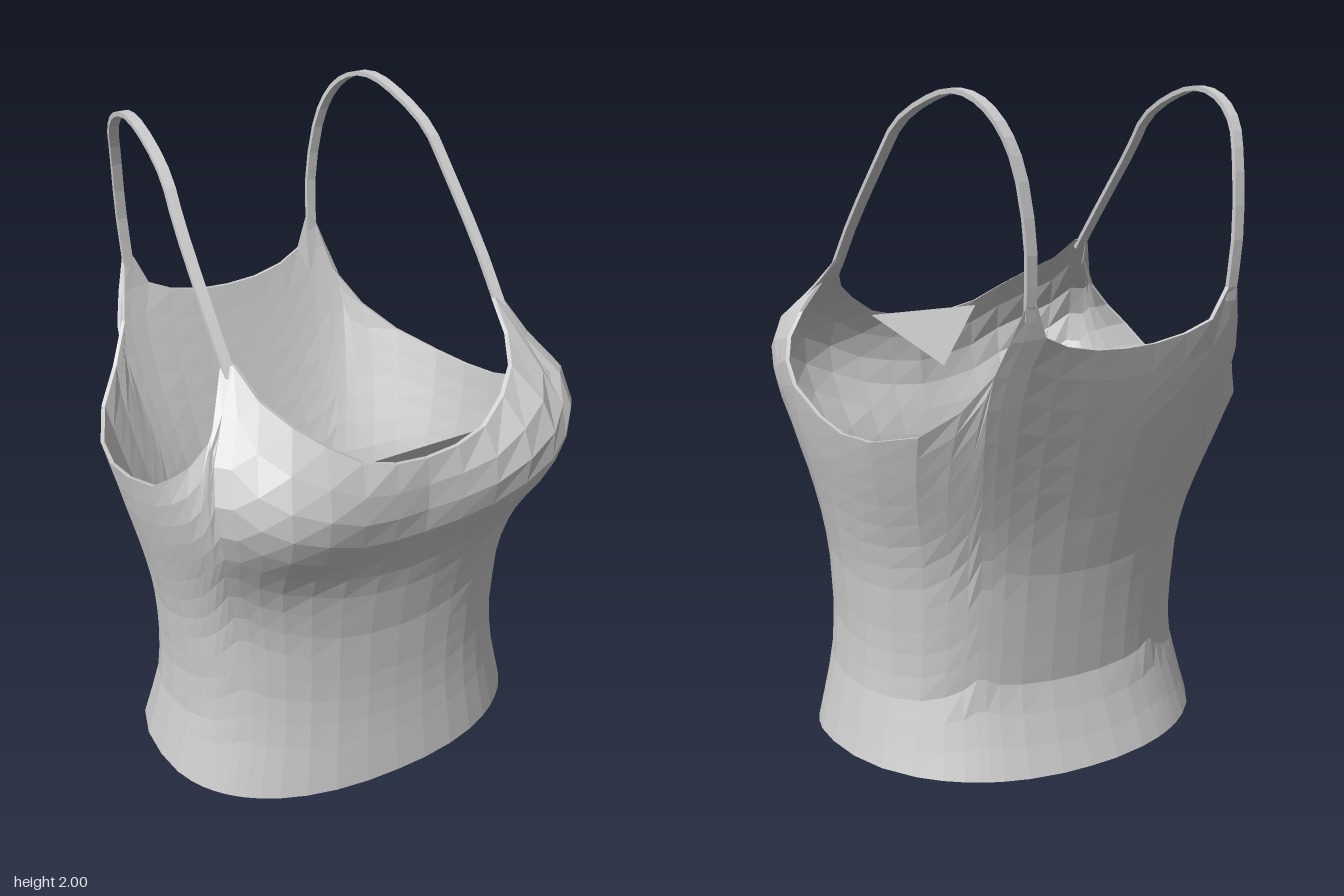
import * as THREE from 'three';

const fabric = new THREE.MeshStandardMaterial({ color: 0xcccccc, side: THREE.DoubleSide });
fabric.name = 'grey fabric';

// Piecewise-linear lookup in a list of [y, value] pairs
function lookup(table, y) {
  for (let i = 1; i < table.length; i++) {
    const [y0, v0] = table[i - 1], [y1, v1] = table[i];
    if (y <= y1) return v0 + (v1 - v0) * Math.max(0, (y - y0) / (y1 - y0));
  }
  return table[table.length - 1][1];
}

// Joins closed rings of points into a faceted skin
function loft(rings, closed) {
  const n = rings[0].length, index = [];
  const count = closed ? rings.length : rings.length - 1;
  for (let i = 0; i < count; i++) {
    const k = (i + 1) % rings.length;
    for (let j = 0; j < n; j++) {
      const m = (j + 1) % n;
      const a = i * n + j, b = k * n + j, c = k * n + m, d = i * n + m;
      index.push(a, b, c, a, c, d);
    }
  }
  const indexed = new THREE.BufferGeometry().setFromPoints(rings.flat());
  indexed.setIndex(index);
  const geometry = indexed.toNonIndexed();
  geometry.computeVertexNormals();
  return geometry;
}

// Torso measurements by height
const halfWidth = [[0, 0.625], [0.1, 0.6], [0.25, 0.565], [0.4, 0.555], [0.6, 0.565], [0.75, 0.59],
  [0.95, 0.63], [1.1, 0.65], [1.2, 0.655], [1.3, 0.62], [1.4, 0.52], [1.5, 0.45]];
const frontZ = [[0, 0.5], [0.25, 0.475], [0.4, 0.47], [0.6, 0.48], [0.8, 0.515], [0.9, 0.56],
  [1, 0.63], [1.08, 0.665], [1.15, 0.672], [1.22, 0.655], [1.3, 0.6], [1.4, 0.47], [1.5, 0.33]];
const backZ = [[0, -0.45], [0.1, -0.41], [0.25, -0.36], [0.4, -0.375], [0.6, -0.4], [0.8, -0.45],
  [1, -0.51], [1.2, -0.57], [1.4, -0.625]];
const squareness = [[0.7, 2.3], [1.1, 3]];
const CENTRE_Z = 0.05;

// Point on the torso: a superellipse with a hollow between the cups
function torso(angle, y) {
  const s = Math.sin(angle), c = Math.cos(angle), p = lookup(squareness, y);
  const r = Math.pow(Math.abs(s) ** p + Math.abs(c) ** p, -1 / p);
  const x = s * r * lookup(halfWidth, y);
  const depth = c > 0 ? lookup(frontZ, y) - CENTRE_Z : CENTRE_Z - lookup(backZ, y);
  let z = CENTRE_Z + c * r * depth;
  if (c > 0) z -= 0.07 * Math.exp(-((x / 0.2) ** 2)) * Math.exp(-(((y - 1.15) / 0.18) ** 2));
  return new THREE.Vector3(x, y, z);
}

// Top edge, centre front to centre back: angle in degrees, x, y, z
const topEdge = [
  [0, 0, 1.23, 0.59], [10, 0.1, 1.24, 0.59], [20, 0.2, 1.265, 0.575], [29, 0.29, 1.32, 0.535],
  [37, 0.36, 1.37, 0.475], [43, 0.41, 1.42, 0.385], [48, 0.432, 1.49, 0.285],
  [52, 0.462, 1.49, 0.265], [55, 0.495, 1.41, 0.325], [59, 0.55, 1.32, 0.355],
  [63, 0.6, 1.25, 0.335], [69, 0.635, 1.19, 0.275], [77, 0.65, 1.13, 0.19], [90, 0.65, 1.07, 0.02],
  [104, 0.645, 1.045, -0.12], [117, 0.62, 1.045, -0.25], [129, 0.55, 1.08, -0.4],
  [137, 0.465, 1.16, -0.49], [143, 0.39, 1.28, -0.565], [147, 0.352, 1.45, -0.63],
  [150, 0.32, 1.45, -0.632], [154, 0.28, 1.36, -0.615], [161, 0.2, 1.325, -0.6],
  [171, 0.1, 1.305, -0.592], [180, 0, 1.3, -0.59],
];

// One vertical strip of the shell: outside going up, inside coming down
function shellColumn([degrees, ...top], side) {
  const ROWS = 15, WALL = 0.012, angle = THREE.MathUtils.degToRad(degrees);
  const edge = new THREE.Vector3(...top);
  const shift = edge.clone().sub(torso(angle, edge.y));
  const hem = 0.035 * (1 - Math.max(0, -Math.cos(angle)) ** 2);
  const outer = [], inner = [];
  for (let j = 0; j <= ROWS; j++) {
    const t = j / ROWS;
    const point = torso(angle, hem + (edge.y - hem) * t).addScaledVector(shift, t ** 5);
    const inward = new THREE.Vector3(-point.x, 0, CENTRE_Z - point.z).setLength(WALL);
    outer.push(point);
    inner.unshift(point.clone().add(inward));
  }
  return [...outer, ...inner].map((p) => p.setX(p.x * side));
}

function bodyGeometry() {
  const left = topEdge.map((e) => shellColumn(e, 1));
  const right = topEdge.slice(1, -1).reverse().map((e) => shellColumn(e, -1));
  return loft([...left, ...right], true);
}

// Flat ribbon looping over the shoulder
function strapGeometry(side) {
  const path = new THREE.CatmullRomCurve3([
    [0.447, 1.46, 0.295], [0.448, 1.6, 0.18], [0.44, 1.8, 0], [0.43, 1.9, -0.09],
    [0.416, 1.968, -0.24], [0.406, 1.992, -0.37], [0.395, 1.965, -0.48], [0.38, 1.9, -0.56],
    [0.36, 1.8, -0.605], [0.343, 1.6, -0.634], [0.335, 1.41, -0.618],
  ].map(([x, y, z]) => new THREE.Vector3(x * side, y, z)));
  const across = new THREE.Vector3(1, 0, 0), rings = [];
  for (let i = 0; i <= 22; i++) {
    const centre = path.getPoint(i / 22);
    const under = path.getTangent(i / 22).cross(across).normalize();
    rings.push([[1, -1], [-1, -1], [-1, 1], [1, 1]].map(([u, v]) =>
      centre.clone().addScaledVector(across, u * 0.016).addScaledVector(under, v * 0.007)));
  }
  return loft(rings, false);
}

// Small triangular lining panel inside the centre front
function liningGeometry() {
  const geometry = new THREE.BufferGeometry().setFromPoints([
    new THREE.Vector3(-0.2, 1.25, 0.56), new THREE.Vector3(0.2, 1.25, 0.56),
    new THREE.Vector3(0, 1.08, 0.43),
  ]);
  geometry.computeVertexNormals();
  return geometry;
}

export function createModel() {
  const group = new THREE.Group();
  group.name = 'camisole';
  const add = (name, geometry) => {
    const mesh = new THREE.Mesh(geometry, fabric);
    mesh.name = name;
    group.add(mesh);
  };
  add('body', bodyGeometry());
  add('leftStrap', strapGeometry(1));
  add('rightStrap', strapGeometry(-1));
  add('frontLining', liningGeometry());
  return group;
}
